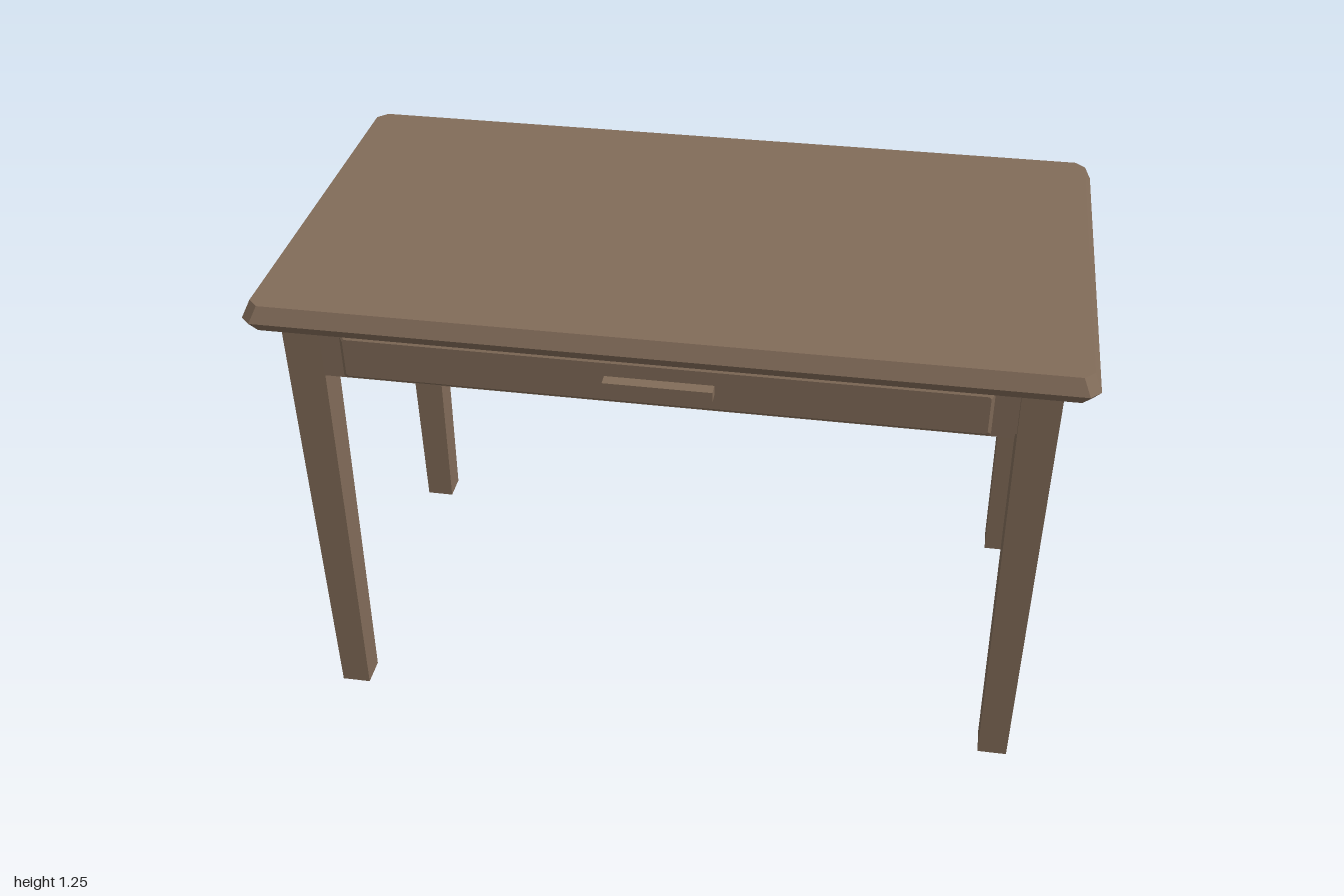
import * as THREE from 'three';

// Lofts a solid through stacked rings [y, halfX, halfZ] with corners cut by `cut`
function loft(rings, cut = 0) {
  const loops = rings.map(([y, w, d]) => {
    const corners = cut
      ? [[-w, d - cut], [-w + cut, d], [w - cut, d], [w, d - cut],
        [w, -d + cut], [w - cut, -d], [-w + cut, -d], [-w, -d + cut]]
      : [[-w, d], [w, d], [w, -d], [-w, -d]];
    return corners.map(([x, z]) => [x, y, z]);
  });
  const pos = [];
  const tri = (a, b, c) => pos.push(...a, ...b, ...c);
  const n = loops[0].length;
  for (let k = 0; k < loops.length - 1; k++) {
    const lo = loops[k], hi = loops[k + 1];
    for (let i = 0; i < n; i++) {
      const j = (i + 1) % n;
      tri(lo[i], lo[j], hi[j]);
      tri(lo[i], hi[j], hi[i]);
    }
  }
  const bottom = loops[0], top = loops[loops.length - 1];
  for (let i = 1; i < n - 1; i++) {
    tri(bottom[0], bottom[i + 1], bottom[i]);
    tri(top[0], top[i], top[i + 1]);
  }
  const g = new THREE.BufferGeometry();
  g.setAttribute('position', new THREE.Float32BufferAttribute(pos, 3));
  g.computeVertexNormals();
  return g;
}

export function createModel() {
  const table = new THREE.Group();
  table.name = 'writingTable';
  const wood = new THREE.MeshStandardMaterial({ color: 0x826c59 });
  wood.name = 'brownWood';

  const add = (name, geometry, x = 0, y = 0, z = 0) => {
    const mesh = new THREE.Mesh(geometry, wood);
    mesh.name = name;
    mesh.position.set(x, y, z);
    table.add(mesh);
    return mesh;
  };
  // Box given by its minimum and maximum corners
  const box = (name, x0, x1, y0, y1, z0, z1) =>
    add(name, new THREE.BoxGeometry(x1 - x0, y1 - y0, z1 - z0),
      (x0 + x1) / 2, (y0 + y1) / 2, (z0 + z1) / 2);

  // Table top with a bevelled edge and clipped corners
  add('tableTop', loft([[1.185, 0.985, 0.525], [1.21, 1, 0.54], [1.25, 0.982, 0.522]], 0.025));

  // Tapered legs and the aprons joining them
  const leg = loft([[0, 0.0375, 0.0375], [1.187, 0.0475, 0.0475]]);
  for (const sx of [-1, 1]) {
    for (const sz of [-1, 1]) {
      add(`${sz > 0 ? 'front' : 'back'}${sx > 0 ? 'Left' : 'Right'}Leg`, leg, sx * 0.8775, 0, sz * 0.4275);
    }
    const inner = sx * 0.8775;
    box(sx > 0 ? 'leftApron' : 'rightApron', inner - 0.025, inner + 0.025, 1.035, 1.187, -0.385, 0.385);
  }
  box('frontApron', -0.835, 0.835, 1.035, 1.187, 0.4, 0.455);
  box('backApron', -0.835, 0.835, 1.035, 1.187, -0.453, -0.403);

  // Drawer: backing rail, bevelled front and bar handle
  box('drawerRail', -0.825, 0.825, 1.047, 1.186, 0.45, 0.49);
  const front = add('drawerFront',
    loft([[0, 0.77, 0.059], [0.014, 0.77, 0.059], [0.021, 0.762, 0.051]], 0.005), 0, 1.117, 0.489);
  front.rotation.x = Math.PI / 2;
  box('drawerHandle', -0.13, 0.13, 1.105, 1.132, 0.508, 0.54);

  return table;
}
